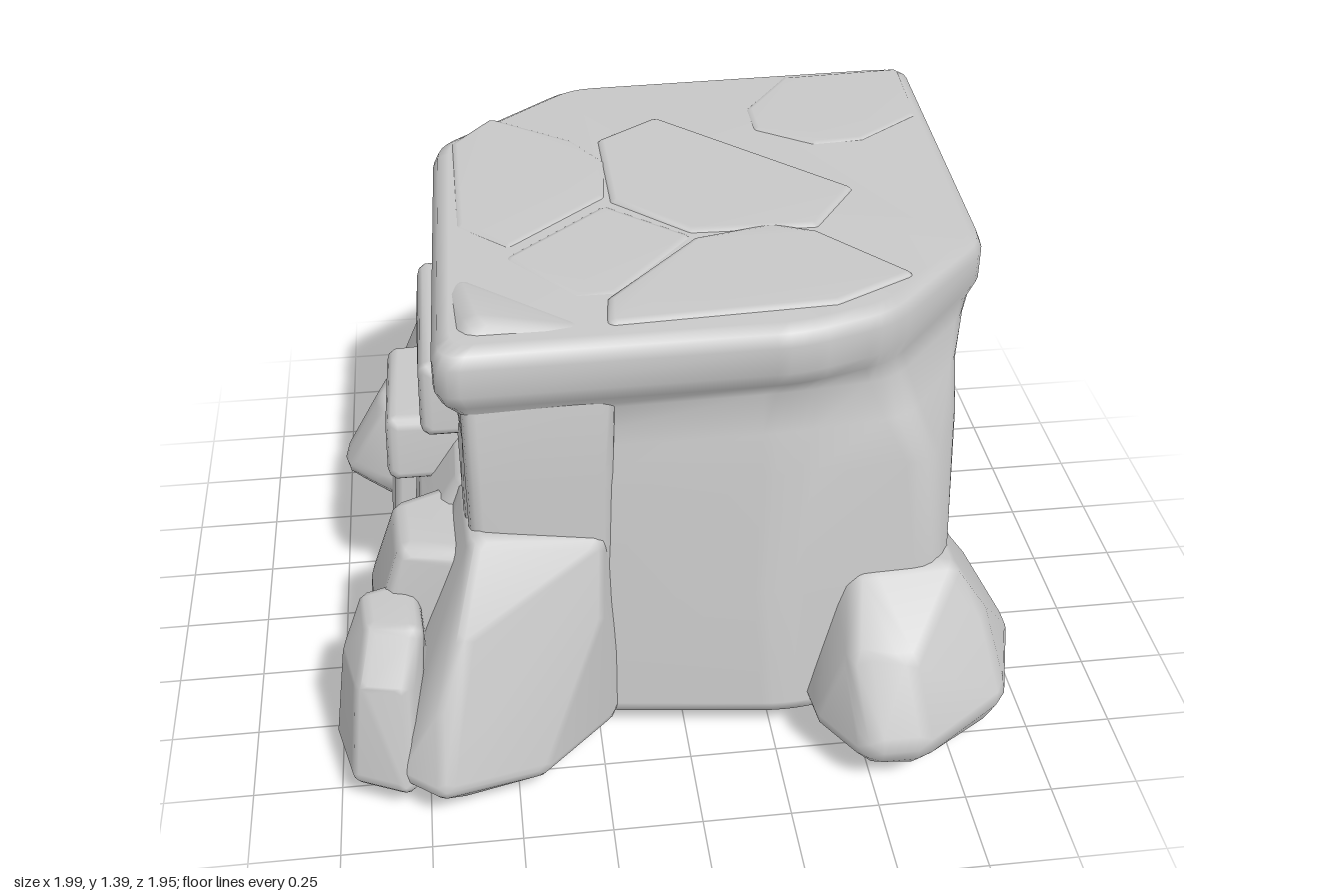
import * as THREE from 'three';
import { mergeVertices } from 'three/addons/utils/BufferGeometryUtils.js';
import { ConvexGeometry } from 'three/addons/geometries/ConvexGeometry.js';

const stone = new THREE.MeshStandardMaterial({ color: 0xc8c8c8 });
stone.name = 'grey stone';

// Unit directions used to round the corners of every rock
function ballPoints() {
  const g = new THREE.IcosahedronGeometry(1, 1);
  g.deleteAttribute('normal');
  g.deleteAttribute('uv');
  const p = mergeVertices(g).getAttribute('position');
  const out = [];
  for (let i = 0; i < p.count; i++) out.push(new THREE.Vector3().fromBufferAttribute(p, i));
  return out;
}
const ball = ballPoints();

// A rounded convex rock: a hull around small balls placed at the corners
function rock(name, r, corners) {
  const pts = [];
  for (const [x, y, z] of corners) {
    for (const d of ball) pts.push(new THREE.Vector3(x + d.x * r, y + d.y * r, z + d.z * r));
  }
  let g = new ConvexGeometry(pts);
  g.deleteAttribute('normal');
  g = mergeVertices(g, 1e-4);
  g.computeVertexNormals();
  const mesh = new THREE.Mesh(g, stone);
  mesh.name = name;
  return mesh;
}

// Lift an x, z outline to a height
const at = (y, outline) => outline.map(([x, z]) => [x, y, z]);

// Round each corner of a closed outline with a short curve
function rounded(outline, radius, steps) {
  const v = outline.map(([x, z]) => new THREE.Vector2(x, z));
  return v.flatMap((p, i) => {
    const [a, b] = [v[(i + v.length - 1) % v.length], v[(i + 1) % v.length]].map((q) => {
      const len = p.distanceTo(q);
      return p.clone().lerp(q, Math.min(radius, len * 0.4) / len);
    });
    return new THREE.QuadraticBezierCurve(a, p, b).getPoints(steps);
  });
}

// Closed body lofted through horizontal rings of [height, shrink, outline]
function loft(name, rings) {
  const pos = [];
  const index = [];
  const middles = [];
  let n = 0;
  for (const [y, shrink, outline] of rings) {
    const ring = rounded(outline, 0.07, 4);
    n = ring.length;
    const mid = ring.reduce((s, p) => s.add(p), new THREE.Vector2()).divideScalar(n);
    middles.push([mid.x, y, mid.y]);
    for (const p of ring) {
      p.lerp(mid, shrink);
      pos.push(p.x, y, p.y);
    }
  }
  const top = (rings.length - 1) * n;
  const hub = rings.length * n;
  pos.push(...middles[0], ...middles[rings.length - 1]);
  for (let i = 0; i < n; i++) {
    const j = (i + 1) % n;
    for (let k = 0; k < top; k += n) {
      index.push(k + i, k + n + i, k + j, k + j, k + n + i, k + n + j);
    }
    index.push(hub, i, j, hub + 1, top + j, top + i);
  }
  const g = new THREE.BufferGeometry();
  g.setAttribute('position', new THREE.Float32BufferAttribute(pos, 3));
  g.setIndex(index);
  g.computeVertexNormals();
  const mesh = new THREE.Mesh(g, stone);
  mesh.name = name;
  return mesh;
}

export function createModel() {
  const group = new THREE.Group();
  group.name = 'stoneBlock';
  const add = (...args) => group.add(rock(...args));

  // Main block: widening upward, with an overhanging rim and two cut corners
  const foot = [[0.79, 0.55], [0.74, 0.65], [0.28, 0.71], [-0.6, 0.6], [-0.62, -0.74], [-0.5, -0.83], [0.79, -0.845]];
  const rim = [[0.885, 0.21], [0.55, 0.55], [0.3, 0.625], [-0.655, 0.635], [-0.625, -0.56], [-0.2, -0.92], [0.935, -0.955]];
  group.add(loft('mainBlock', [
    [0.085, 0.06, foot],
    [0.1, 0.02, foot],
    [0.14, 0, foot],
    [0.5, 0, [[0.785, 0.5], [0.72, 0.62], [0.26, 0.64], [-0.6, 0.6], [-0.62, -0.74], [-0.5, -0.84], [0.8, -0.88]]],
    [0.88, 0, [[0.81, 0.36], [0.68, 0.58], [0.28, 0.59], [-0.6, 0.58], [-0.62, -0.7], [-0.48, -0.85], [0.855, -0.91]]],
    [1.0, 0, [[0.83, 0.25], [0.62, 0.53], [0.28, 0.565], [-0.59, 0.57], [-0.6, -0.66], [-0.4, -0.87], [0.87, -0.92]]],
    [1.12, 0, [[0.85, 0.21], [0.57, 0.52], [0.28, 0.55], [-0.6, 0.57], [-0.59, -0.56], [-0.25, -0.9], [0.89, -0.93]]],
    [1.18, 0, [[0.865, 0.2], [0.55, 0.53], [0.3, 0.6], [-0.64, 0.61], [-0.61, -0.56], [-0.21, -0.91], [0.905, -0.94]]],
    [1.23, 0, rim],
    [1.31, 0, rim],
    [1.345, 0.02, rim],
    [1.365, 0.06, rim],
  ]));
  add('rimCorner', 0.07, [[-0.57, 1.25, 0.55], [-0.53, 1.325, 0.5], [-0.3, 1.3, 0.53], [-0.56, 1.3, 0.3]]);

  // Paving stones on top, with narrow grooves between them
  const paving = {
    leftSlab: [[-0.44, -0.66], [-0.22, -0.49], [-0.14, -0.35], [-0.16, -0.14], [-0.43, 0.1], [-0.55, -0.02], [-0.55, -0.52]],
    centreSlab: [[-0.11, -0.48], [0.06, -0.6], [0.55, -0.1], [0.42, 0.09], [0.08, 0.08], [-0.11, -0.11], [-0.09, -0.33]],
    smallSlab: [[-0.42, 0.18], [-0.15, -0.06], [0.05, 0.12], [-0.17, 0.38], [-0.26, 0.38]],
    frontSlab: [[0.09, 0.15], [0.3, 0.1], [0.41, 0.15], [0.61, 0.39], [0.4, 0.5], [-0.18, 0.53], [-0.17, 0.43]],
    cornerSlab: [[0.52, -0.86], [0.37, -0.65], [0.37, -0.52], [0.52, -0.41], [0.66, -0.42], [0.85, -0.56], [0.87, -0.88]],
  };
  Object.entries(paving).forEach(([name, outline], i) => {
    add(name, 0.025, at(1.346 + (i % 2) * 0.004, outline));
  });

  // Pillar beside the recessed front panel
  add('frontPillar', 0.04, [
    ...at(0.15, [[-0.55, 0.6], [-0.26, 0.6], [-0.55, 0.3], [-0.26, 0.3]]),
    ...at(0.92, [[-0.55, 0.59], [-0.24, 0.57]]),
    ...at(1.22, [[-0.55, 0.53], [-0.22, 0.54], [-0.55, 0.3], [-0.22, 0.3]]),
  ]);

  // Boulder at the front right of the block
  add('frontLeftBoulder', 0.08, [
    ...at(0.465, [[0.52, 0.6], [0.72, 0.59], [0.72, 0.43], [0.5, 0.44]]),
    ...at(0.35, [[0.8, 0.42], [0.8, 0.62], [0.58, 0.79], [0.49, 0.76]]),
    ...at(0.17, [[0.8, 0.34], [0.91, 0.5], [0.84, 0.73], [0.61, 0.89], [0.51, 0.89], [0.43, 0.76], [0.43, 0.5]]),
    [0.88, 0.08, 0.5], [0.8, 0.08, 0.38], [0.82, 0.09, 0.7], [0.6, 0.14, 0.87],
    [0.4, 0.15, 0.4], [0.55, 0.14, 0.15],
  ]);

  // Boulders stacked at the other front corner
  add('frontRightBoulder', 0.05, [
    [-0.56, 0.745, 0.64], [-0.27, 0.69, 0.6], [-0.57, 0.74, 0.4], [-0.27, 0.68, 0.4],
    [-0.62, 0.55, 0.77], [-0.28, 0.5, 0.66], [-0.69, 0.36, 0.85],
    [-0.26, 0.14, 0.66], [-0.45, 0.13, 0.83], [-0.7, 0.17, 0.92], [-0.79, 0.17, 0.85], [-0.8, 0.13, 0.4],
    [-0.35, 0.06, 0.55], [-0.4, 0.05, 0.35], [-0.65, 0.11, 0.86], [-0.15, 0.12, 0.4], [-0.4, 0.12, 0.0],
  ]);
  add('sideBoulder', 0.05, [
    ...at(0.13, [[-0.86, 0.36], [-0.85, 0.58], [-0.74, 0.25], [-0.55, 0.2], [-0.55, 0.6]]),
    ...at(0.45, [[-0.83, 0.36], [-0.82, 0.56], [-0.72, 0.28]]),
    ...at(0.66, [[-0.76, 0.38], [-0.75, 0.54], [-0.58, 0.3], [-0.58, 0.58]]),
  ]);
  add('smallBoulder', 0.04, [
    ...at(0.14, [[-0.96, 0.66], [-0.92, 0.82], [-0.81, 0.87], [-0.76, 0.6]]),
    ...at(0.42, [[-0.92, 0.64], [-0.89, 0.78], [-0.8, 0.8]]),
    ...at(0.53, [[-0.87, 0.59], [-0.78, 0.56], [-0.77, 0.72], [-0.86, 0.7]]),
  ]);

  // Two-lobed foot at the back corner
  add('backFootSide', 0.08, [
    ...at(0.18, [[-0.92, -0.6], [-0.89, -0.68], [-0.73, -0.78], [-0.83, -0.51], [-0.6, -0.35], [-0.5, -0.75]]),
    ...at(0.4, [[-0.81, -0.55], [-0.78, -0.64], [-0.6, -0.74], [-0.6, -0.45]]),
    [-0.86, 0.15, -0.6], [-0.55, 0.1, -0.7], [-0.3, 0.16, -0.4],
  ]);
  add('backFootRear', 0.08, [
    ...at(0.16, [[-0.64, -0.87], [-0.58, -0.9], [-0.47, -0.9], [-0.36, -0.82], [-0.75, -0.74], [-0.25, -0.72]]),
    ...at(0.4, [[-0.6, -0.81], [-0.49, -0.82], [-0.68, -0.66], [-0.38, -0.74]]),
    [-0.6, 0.1, -0.84], [-0.45, 0.08, -0.86], [-0.38, 0.09, -0.78], [-0.4, 0.15, -0.45], [-0.54, 0.62, -0.72],
  ]);
  add('sideButtress', 0.05, [
    ...at(0.14, [[-0.79, -0.15], [-0.8, -0.5], [-0.5, -0.05], [-0.5, -0.7]]),
    ...at(0.6, [[-0.75, -0.2], [-0.74, -0.48], [-0.58, -0.7]]),
    ...at(0.98, [[-0.57, -0.3], [-0.57, -0.48], [-0.5, -0.6]]),
  ]);
  add('sideBase', 0.05, [
    ...at(0.14, [[-0.72, -0.2], [-0.74, 0.35], [-0.5, -0.2], [-0.5, 0.4]]),
    ...at(0.6, [[-0.68, -0.18], [-0.68, 0.35], [-0.5, 0.3]]),
    ...at(0.75, [[-0.58, -0.2], [-0.58, 0.35]]),
  ]);

  // Bricks set into the side wall
  const brick = (name, x0, x1, y0, y1, z0, z1) => add(name, 0.035, [
    ...at(y0 + 0.035, [[x0 + 0.035, z0 + 0.04], [x0 + 0.04, z1 - 0.035], [x1, z0 + 0.035], [x1, z1 - 0.035]]),
    ...at(y1 - 0.035, [[x0 + 0.05, z0 + 0.06], [x0 + 0.045, z1 - 0.05], [x1, z0 + 0.04], [x1, z1 - 0.04]]),
  ]);
  brick('upperBrick', -0.71, -0.5, 0.89, 1.12, -0.3, 0.33);
  brick('lowerBrick', -0.82, -0.5, 0.65, 0.86, -0.25, 0.2);

  return group;
}
